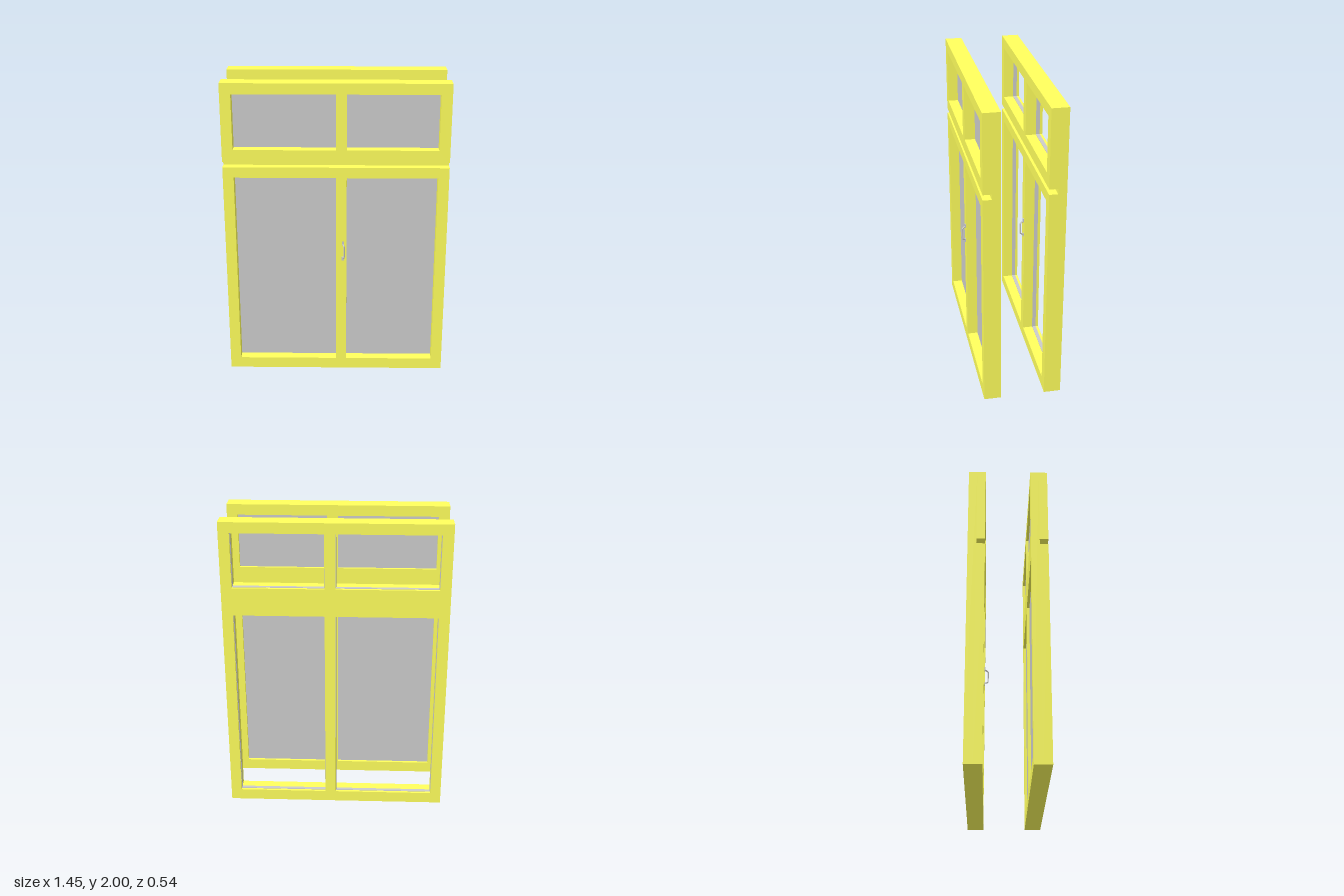
import * as THREE from 'three';

const yellow = new THREE.MeshStandardMaterial({ color: 0xffff5c, flatShading: true });
const grey = new THREE.MeshStandardMaterial({ color: 0xcccccc });

const HALF_W = 0.725, DEPTH = 0.11, GROOVE = 0.055;
const columns = [[-0.655, 0], [0.07, 0.655]];
const lower = [0.075, 1.385], upper = [1.57, 1.93];

function rect(Type, x0, x1, y0, y1) {
  const r = new Type();
  r.moveTo(x0, y0).lineTo(x1, y0).lineTo(x1, y1).lineTo(x0, y1).closePath();
  return r;
}

// Board with a pair of openings for each row, extruded from z0 to z1
function board(name, y0, y1, rows, z0, z1) {
  const shape = rect(THREE.Shape, -HALF_W, HALF_W, y0, y1);
  for (const [a, b] of rows)
    for (const [l, r] of columns) shape.holes.push(rect(THREE.Path, l, r, a, b));
  const mesh = new THREE.Mesh(new THREE.ExtrudeGeometry(shape, { depth: z1 - z0, bevelEnabled: false }), yellow);
  mesh.position.z = z0;
  mesh.name = name;
  return mesh;
}

// Pull handle leaning sideways, with two mounting feet
function makeHandle() {
  const handle = new THREE.Group();
  handle.name = 'handle';
  const path = new THREE.CurvePath();
  const pts = [
    [0.046, 0.833, 0], [0.049, 0.833, 0.012], [0.055, 0.843, 0.025],
    [0.055, 0.917, 0.025], [0.049, 0.927, 0.012], [0.046, 0.927, 0],
  ].map(p => new THREE.Vector3(...p));
  for (let i = 1; i < pts.length; i++) path.add(new THREE.LineCurve3(pts[i - 1], pts[i]));
  const grip = new THREE.Mesh(new THREE.TubeGeometry(path, 40, 0.005, 8), grey);
  grip.name = 'handleGrip';
  handle.add(grip);
  for (const y of [0.825, 0.935]) {
    const foot = new THREE.Mesh(new THREE.BoxGeometry(0.014, 0.026, 0.006), grey);
    foot.position.set(0.046, y, 0.003);
    foot.name = 'handleFoot';
    handle.add(foot);
  }
  handle.position.z = DEPTH;
  return handle;
}

// Frame with a horizontal groove across its front face
function makeFrame(name) {
  const g = new THREE.Group();
  g.name = name;
  g.add(
    board('frameBack', 0, 2, [lower, upper], 0, GROOVE),
    board('lowerFrameFront', 0, 1.455, [lower], GROOVE, DEPTH),
    board('upperFrameFront', 1.49, 2, [upper], GROOVE, DEPTH),
    makeHandle(),
  );
  return g;
}

// Panes, or thin glazing seals for the open frame, near the back face
function addGlazing(frame, open) {
  for (const [y0, y1] of [lower, upper])
    for (const [x0, x1] of columns) {
      const shape = rect(THREE.Shape, x0, x1, y0, y1);
      const t = 0.003;
      if (open) shape.holes.push(rect(THREE.Path, x0 + t, x1 - t, y0 + t, y1 - t));
      const pane = new THREE.Mesh(new THREE.ExtrudeGeometry(shape, { depth: 0.025, bevelEnabled: false }), grey);
      pane.position.z = 0.018;
      pane.name = open ? 'glazingSeal' : 'glassPane';
      frame.add(pane);
    }
}

export function createModel() {
  const model = new THREE.Group();
  model.name = 'window';
  const front = makeFrame('glazedFrame');
  front.position.z = 0.13;
  addGlazing(front, false);
  const rear = makeFrame('openFrame');
  rear.position.z = -0.27;
  addGlazing(rear, true);
  model.add(front, rear);
  return model;
}
